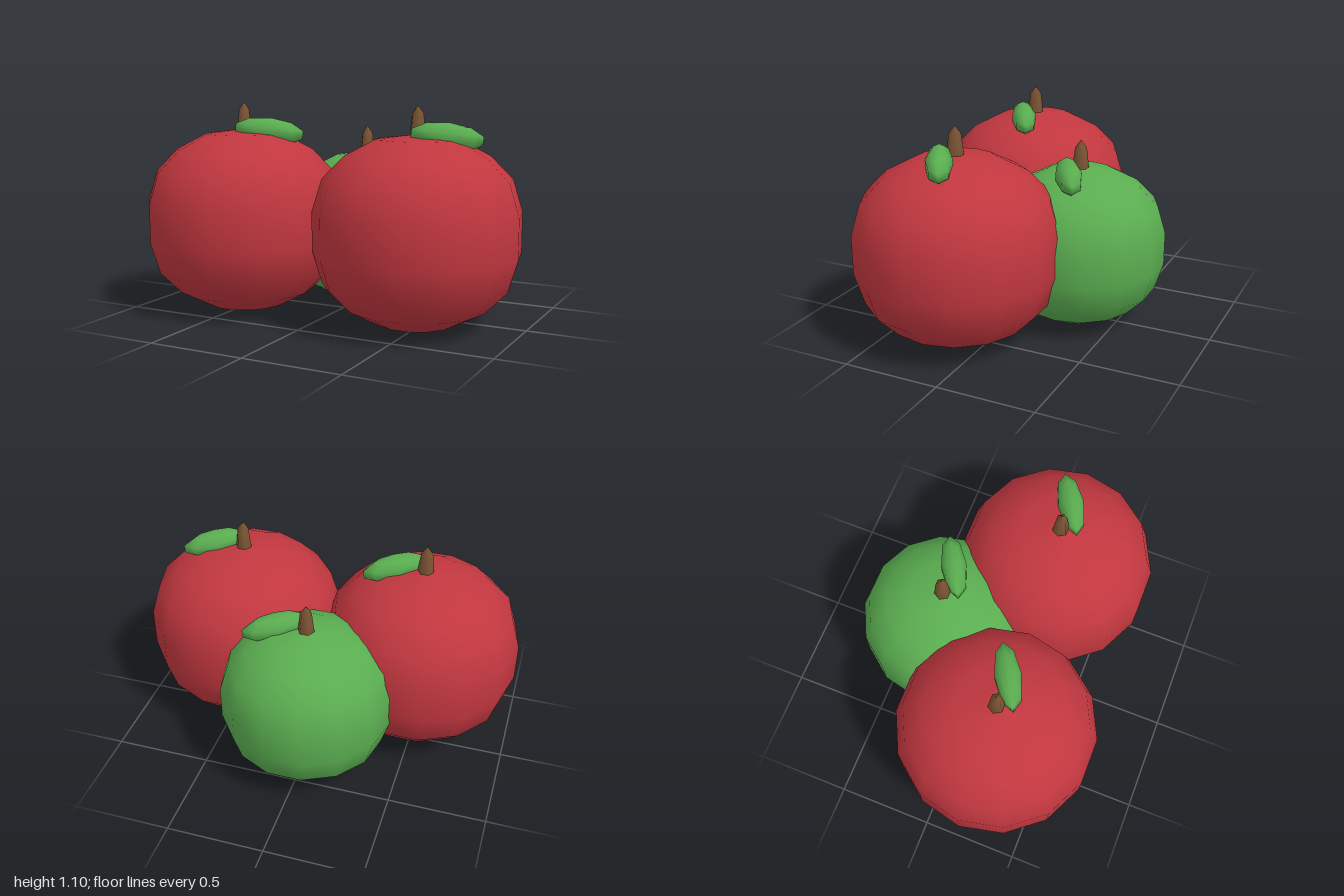
import * as THREE from 'three';

const mat = (name, color) => {
  const m = new THREE.MeshStandardMaterial({ color });
  m.name = name;
  return m;
};

export function createModel() {
  const red = mat('red skin', 0xc1373f);
  const green = mat('green', 0x5aad50);
  const brown = mat('brown bark', 0x7a5433);
  const model = new THREE.Group();
  model.name = 'apples';

  // Squat round body: upper rings (radius, height above middle), mirrored below
  const rings = [[0.515, 0.1], [0.466, 0.26], [0.355, 0.373], [0.202, 0.453], [0, 0.478]];
  const lower = rings.map(([r, y]) => new THREE.Vector2(r, -y)).reverse();
  const upper = rings.map(([r, y]) => new THREE.Vector2(r, y));
  const bodyGeo = new THREE.LatheGeometry([...lower, ...upper], 14, Math.PI / 2);

  // Six-sided stem with a pointed tip, measured from the crown of the apple
  const stemPoints = [[0, -0.06], [0.044, -0.06], [0.042, 0], [0.03, 0.1], [0, 0.14]];
  const stemGeo = new THREE.LatheGeometry(stemPoints.map(([r, y]) => new THREE.Vector2(r, y)), 6, Math.PI / 2);

  // Plump leaf
  const leafGeo = new THREE.SphereGeometry(1, 8, 5);
  leafGeo.scale(0.184, 0.07, 0.068);

  const addApple = (name, x, z, size, skin) => {
    const apple = new THREE.Group();
    apple.name = name;
    apple.position.set(x, 0.004, z);
    const top = 0.956 * size;

    const body = new THREE.Mesh(bodyGeo, skin);
    body.name = 'body';
    body.scale.setScalar(size);
    body.position.y = top / 2;

    const stem = new THREE.Mesh(stemGeo, brown);
    stem.name = 'stem';
    stem.position.y = top;

    const leaf = new THREE.Mesh(leafGeo, green);
    leaf.name = 'leaf';
    leaf.position.set(0.152, top - 0.01, 0);
    leaf.rotation.set(0, 0.51, -0.12, 'YXZ');

    apple.add(body, stem, leaf);
    model.add(apple);
  };

  addApple('leftApple', 0.485, 0.167, 1, red);
  addApple('rightApple', -0.485, 0.203, 1, red);
  addApple('backApple', 0, -0.28, 0.857, green);
  return model;
}
